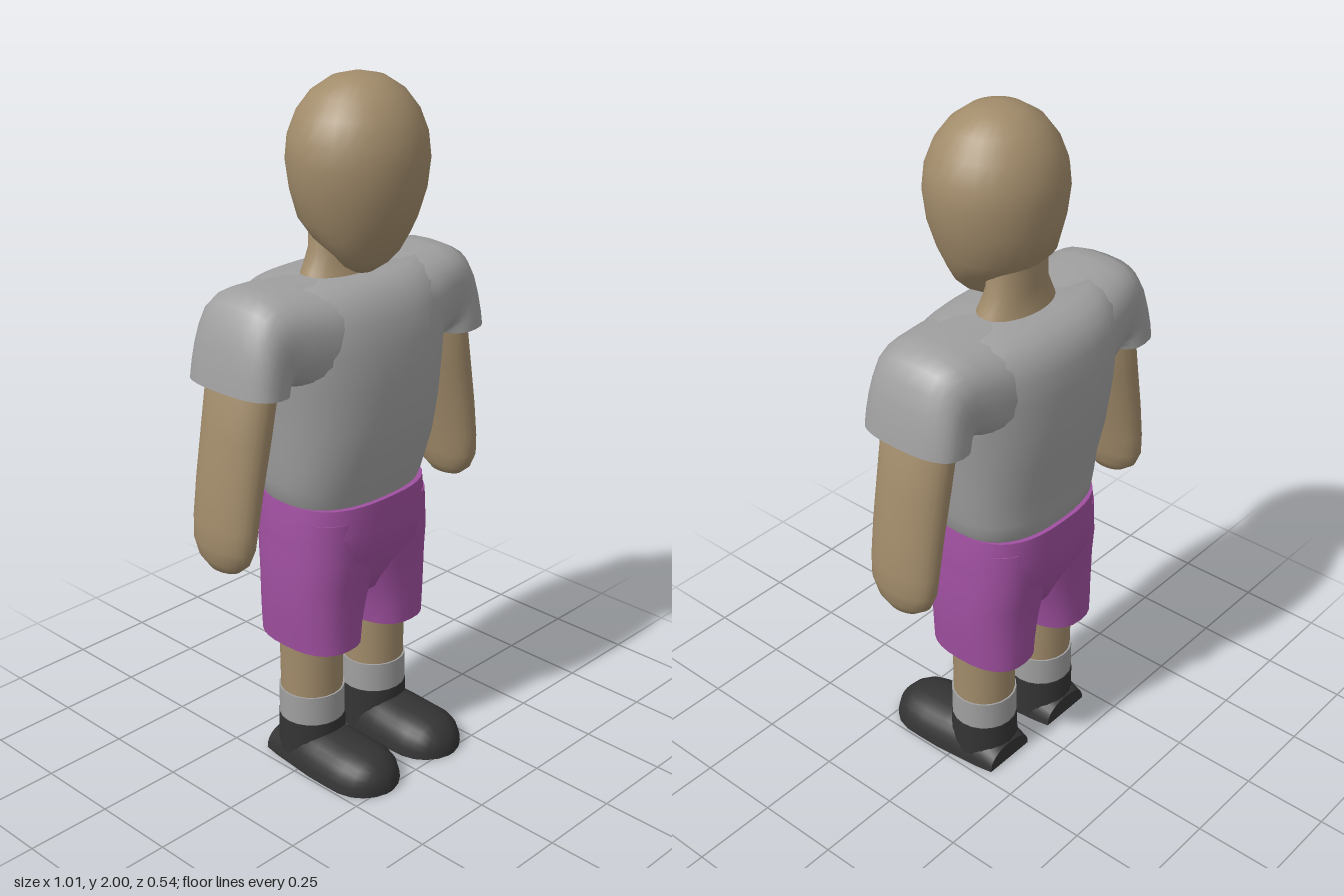
import * as THREE from 'three';
import { toCreasedNormals } from 'three/addons/utils/BufferGeometryUtils.js';

const mat = (name, color, side = THREE.FrontSide) => {
  const m = new THREE.MeshStandardMaterial({ color, side });
  m.name = name;
  return m;
};

const V = (x, y, z) => new THREE.Vector3(x, y, z);

// Skin over superellipse rings { c, u, v }; s = -1 mirrors across x.
function loft(rings, { n = 28, power = 2, s = 1, capStart = true, capEnd = true, floor = -1 } = {}) {
  const pos = [], idx = [];
  const round = (t) => Math.sign(t) * Math.pow(Math.abs(t), 2 / power);
  const push = (p) => pos.push(p.x * s, Math.max(p.y, floor), p.z);
  const tri = (a, b, c) => (s > 0 ? idx.push(a, b, c) : idx.push(a, c, b));
  for (const { c, u, v } of rings) {
    for (let i = 0; i < n; i++) {
      const a = (i / n) * Math.PI * 2;
      push(c.clone().addScaledVector(u, round(Math.cos(a))).addScaledVector(v, round(Math.sin(a))));
    }
  }
  for (let r = 0; r < rings.length - 1; r++) {
    for (let i = 0; i < n; i++) {
      const a = r * n + i, b = r * n + ((i + 1) % n);
      tri(a, a + n, b);
      tri(b, a + n, b + n);
    }
  }
  const cap = (r, flip) => {
    const k = pos.length / 3;
    push(rings[r].c);
    for (let i = 0; i < n; i++) {
      const a = r * n + i, b = r * n + ((i + 1) % n);
      if (flip) tri(k, a, b); else tri(k, b, a);
    }
  };
  if (capStart) cap(0, true);
  if (capEnd) cap(rings.length - 1, false);
  const g = new THREE.BufferGeometry();
  g.setAttribute('position', new THREE.Float32BufferAttribute(pos, 3));
  g.setIndex(idx);
  return toCreasedNormals(g, 1);
}

// Horizontal ring from its height and its x and z limits.
const level = ([y, x0, x1, z0, z1]) => ({
  c: V((x0 + x1) / 2, y, (z0 + z1) / 2), u: V((x1 - x0) / 2, 0, 0), v: V(0, 0, (z1 - z0) / 2),
});
// Horizontal ring centred on x = 0.
const centred = ([y, w, z0, z1]) => level([y, -w, w, z0, z1]);

export function createModel() {
  const model = new THREE.Group();
  model.name = 'figure';
  const skin = mat('skin', 0xa28c6b);
  const grey = mat('greyCloth', 0xa0a0a0, THREE.DoubleSide);
  const purple = mat('purpleCloth', 0xa050a0, THREE.DoubleSide);
  const black = mat('blackShoe', 0x343434);
  const add = (name, geometry, material) => {
    const m = new THREE.Mesh(geometry, material);
    m.name = name;
    model.add(m);
    return m;
  };

  // Head, with the chin set forward of the neck
  add('head', loft([
    [1.475, 0.03, 0.01, 0.06], [1.5, 0.075, -0.005, 0.095], [1.53, 0.105, -0.02, 0.12],
    [1.575, 0.137, -0.1, 0.148], [1.62, 0.16, -0.145, 0.17], [1.7, 0.185, -0.163, 0.193],
    [1.78, 0.197, -0.171, 0.2], [1.84, 0.191, -0.165, 0.193], [1.9, 0.168, -0.142, 0.17],
    [1.95, 0.13, -0.105, 0.133], [1.985, 0.075, -0.055, 0.085], [2, 0.01, 0.005, 0.025],
  ].map(centred)), skin);
  add('neck', loft([
    [1.42, 0.15, -0.15, 0.05], [1.48, 0.125, -0.125, 0.02], [1.53, 0.1, -0.12, 0.01], [1.66, 0.1, -0.12, 0.01],
  ].map(centred)), skin);

  // Shirt body
  add('shirtBody', loft([
    [0.83, 0.225, -0.21, 0.12], [0.855, 0.238, -0.225, 0.128], [0.9, 0.248, -0.229, 0.14],
    [0.98, 0.259, -0.237, 0.163], [1.08, 0.272, -0.258, 0.178], [1.2, 0.288, -0.27, 0.182],
    [1.3, 0.305, -0.268, 0.177], [1.37, 0.31, -0.262, 0.16], [1.42, 0.305, -0.243, 0.137],
    [1.45, 0.285, -0.21, 0.105], [1.466, 0.25, -0.17, 0.07],
  ].map(centred), { n: 40, power: 2.5 }), grey);

  // Shorts hips
  add('shortsHips', loft([
    [0.49, 0.1, -0.1, 0.01], [0.53, 0.19, -0.16, 0.065], [0.6, 0.238, -0.19, 0.1],
    [0.68, 0.245, -0.226, 0.135], [0.76, 0.243, -0.23, 0.14], [0.843, 0.232, -0.23, 0.138],
  ].map(centred), { n: 40, power: 2.7 }), purple);

  for (const s of [1, -1]) {
    const side = s > 0 ? 'left' : 'right';

    // Sleeve: rings fan from the chest around the armpit to the open cuff
    const sleeve = [ // outer x, y, inner x, y, half depth
      [0.08, 1.466, 0.08, 1.17, 0.19], [0.2, 1.47, 0.2, 1.18, 0.185], [0.3, 1.475, 0.27, 1.208, 0.165],
      [0.35, 1.472, 0.285, 1.215, 0.157], [0.395, 1.45, 0.29, 1.219, 0.152], [0.422, 1.405, 0.295, 1.22, 0.151],
      [0.44, 1.35, 0.298, 1.221, 0.153], [0.453, 1.29, 0.3, 1.222, 0.155], [0.461, 1.235, 0.302, 1.222, 0.156],
    ].map(([ox, oy, ix, iy, d]) => ({
      c: V((ox + ix) / 2, (oy + iy) / 2, -0.046), u: V(0, 0, d), v: V((ox - ix) / 2, (oy - iy) / 2, 0),
    }));
    add(side + 'Sleeve', loft(sleeve, { power: 2.7, s, capEnd: false }), grey);

    // Arm, ending in a rounded mitt
    add(side + 'Arm', loft([
      [0.718, 0.44, 0.46, -0.06, -0.035], [0.728, 0.419, 0.481, -0.1, 0.008], [0.755, 0.404, 0.496, -0.135, 0.04],
      [0.8, 0.394, 0.504, -0.154, 0.06], [0.86, 0.382, 0.503, -0.157, 0.064], [0.97, 0.358, 0.491, -0.158, 0.066],
      [1.1, 0.326, 0.471, -0.159, 0.068], [1.24, 0.297, 0.447, -0.161, 0.07], [1.34, 0.29, 0.41, -0.14, 0.05],
    ].map(level), { s }), skin);

    // Shorts leg, open at the hem
    add(side + 'ShortsLeg', loft([
      [0.395, 0.022, 0.236, -0.2, 0.108], [0.45, 0.014, 0.241, -0.2, 0.108], [0.51, -0.002, 0.246, -0.2, 0.109],
      [0.6, -0.03, 0.25, -0.203, 0.113], [0.68, -0.05, 0.247, -0.215, 0.125], [0.8, -0.05, 0.238, -0.215, 0.125],
    ].map(level), { power: 2.5, s, capStart: false }), purple);

    // Lower leg and sock
    const leg = add(side + 'Leg', new THREE.CylinderGeometry(0.094, 0.09, 0.5, 20), skin);
    leg.position.set(s * 0.13, 0.37, -0.046);
    const sock = add(side + 'Sock', new THREE.CylinderGeometry(0.096, 0.096, 0.11, 20), grey);
    sock.position.set(s * 0.13, 0.175, -0.046);

    // Shoe: flat sole, rounded toe, ankle collar
    const shoe = [ // z, half width, height
      [-0.148, 0.085, 0.06], [-0.1, 0.094, 0.085], [0, 0.104, 0.11], [0.05, 0.109, 0.106], [0.12, 0.11, 0.101],
      [0.17, 0.109, 0.099], [0.21, 0.097, 0.09], [0.24, 0.075, 0.072], [0.26, 0.046, 0.05], [0.271, 0.012, 0.02],
    ].map(([z, w, h]) => ({ c: V(0.133, 0, z), u: V(0, h, 0), v: V(w, 0, 0) }));
    add(side + 'Shoe', loft(shoe, { power: 2.3, s, floor: 0 }), black);
    const collar = add(side + 'ShoeCollar', new THREE.CylinderGeometry(0.098, 0.1, 0.13, 20), black);
    collar.position.set(s * 0.13, 0.075, -0.046);
  }
  return model;
}
